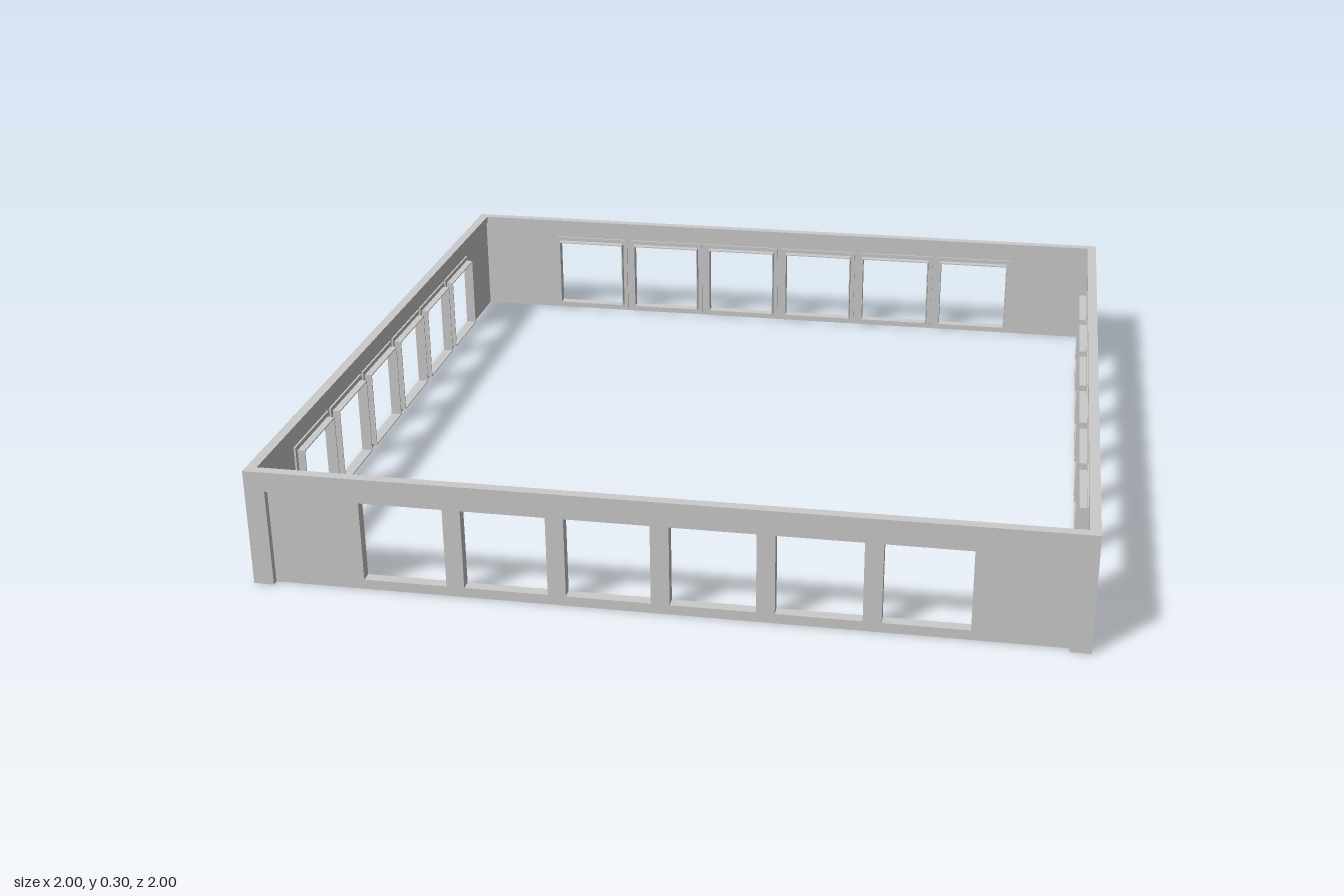
import * as THREE from 'three';

const material = new THREE.MeshStandardMaterial({ color: 0xcccccc, flatShading: true });
const centers = [-0.623, -0.374, -0.125, 0.125, 0.374, 0.623];
const W = 0.205, Y0 = 0.025, Y1 = 0.229; // window opening

function rect(x0, y0, x1, y1, Type = THREE.Shape) {
  const r = new Type();
  r.moveTo(x0, y0);
  r.lineTo(x1, y0);
  r.lineTo(x1, y1);
  r.lineTo(x0, y1);
  r.closePath();
  return r;
}

// Extrudes a wall outline between two depths
function slab(name, shape, z0, z1) {
  const geo = new THREE.ExtrudeGeometry(shape, { depth: z1 - z0, bevelEnabled: false });
  geo.translate(0, 0, z0);
  const mesh = new THREE.Mesh(geo, material);
  mesh.name = name;
  return mesh;
}

// Rectangular ring of a given border around a window opening
function ring(cx, border) {
  const h = W / 2;
  const s = rect(cx - h - border, Y0 - border, cx + h + border, Y1 + border);
  s.holes.push(rect(cx - h, Y0, cx + h, Y1, THREE.Path));
  return s;
}

function buildWall(name) {
  const wall = new THREE.Group();
  wall.name = name;

  // Recessed panel with six openings
  const panel = rect(-0.982, 0, 0.982, 0.29);
  for (const c of centers) panel.holes.push(rect(c - W / 2, Y0, c + W / 2, Y1, THREE.Path));
  wall.add(slab('panel', panel, 0.979, 0.983));

  // Outer frame: two corner posts joined by the top beam
  const frame = new THREE.Shape();
  [[-1, 0], [-0.95, 0], [-0.95, 0.25], [0.95, 0.25], [0.95, 0], [1, 0], [1, 0.3], [-1, 0.3]]
    .forEach(([x, y], i) => (i ? frame.lineTo(x, y) : frame.moveTo(x, y)));
  frame.closePath();
  wall.add(slab('outerFrame', frame, 0.981, 1));

  // Lip along the inside of the top
  wall.add(slab('innerLip', rect(-0.982, 0.28, 0.982, 0.3), 0.974, 0.982));

  // Window trim and the reveals projecting inward
  for (const c of centers) {
    wall.add(slab('windowTrim', ring(c, 0.015), 0.974, 0.98));
    wall.add(slab('windowReveal', ring(c, 0.003), 0.955, 0.981));
  }
  return wall;
}

export function createModel() {
  const model = new THREE.Group();
  model.name = 'windowedWallRing';
  ['frontWall', 'leftWall', 'backWall', 'rightWall'].forEach((name, i) => {
    const wall = buildWall(name);
    wall.rotation.y = (i * Math.PI) / 2;
    model.add(wall);
  });
  return model;
}
